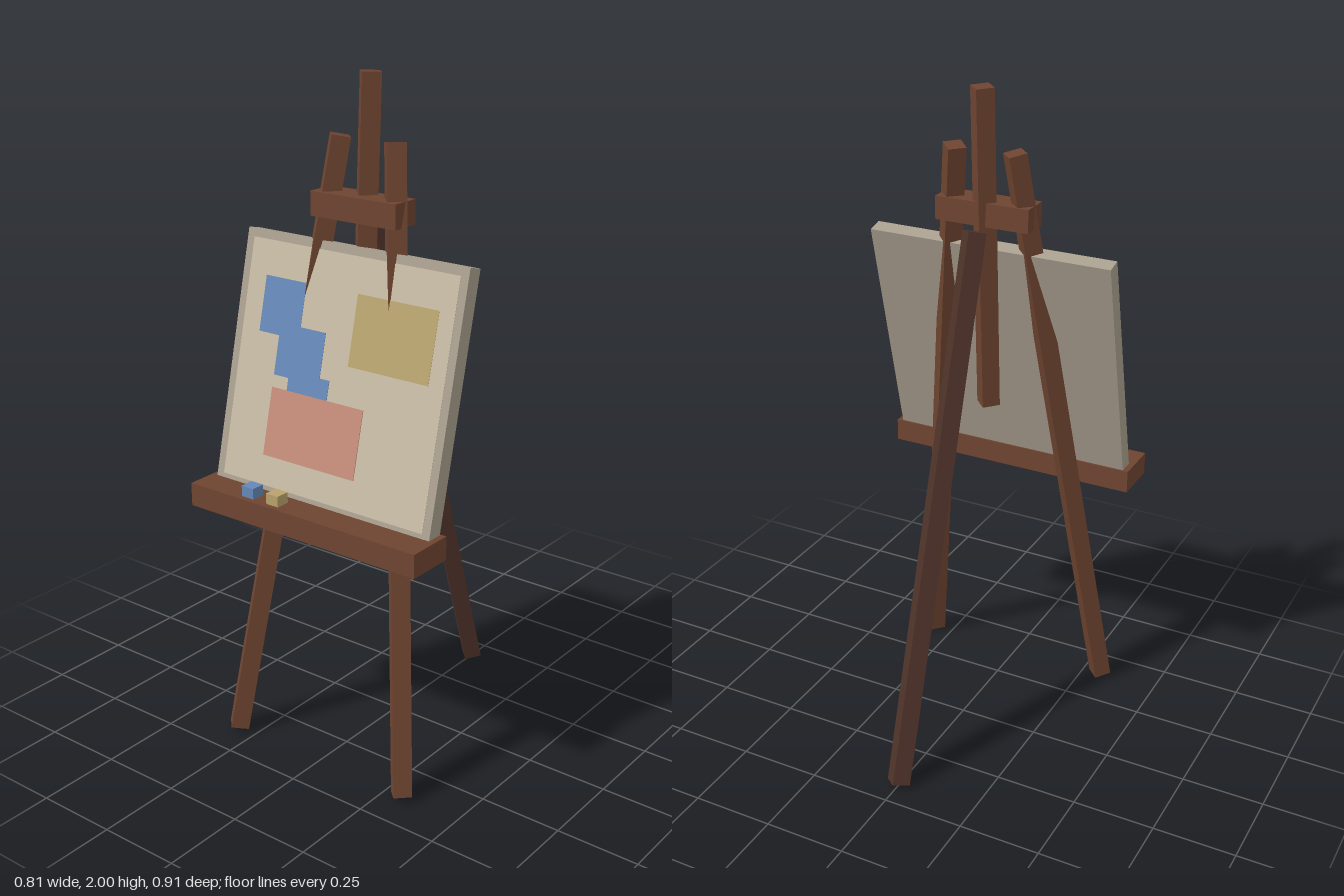
import * as THREE from 'three';

const material = (color) => new THREE.MeshStandardMaterial({ color, flatShading: true });
const wood = material(0x6e4430);
const darkWood = material(0x50342a);
const frame = material(0xa89e8e);
const linen = material(0xc6baa4);
const blue = material(0x6488b8);
const ochre = material(0xb8a26c);
const salmon = material(0xc48a78);

function add(parent, name, geometry, mat, x = 0, y = 0, z = 0) {
  const mesh = new THREE.Mesh(geometry, mat);
  mesh.name = name;
  mesh.position.set(x, y, z);
  parent.add(mesh);
  return mesh;
}

// Box given by its lower and upper corners
function box(parent, name, mat, [x0, y0, z0], [x1, y1, z1]) {
  return add(parent, name, new THREE.BoxGeometry(x1 - x0, y1 - y0, z1 - z0), mat,
    (x0 + x1) / 2, (y0 + y1) / 2, (z0 + z1) / 2);
}

// Square pole, set corner-on, between two points
function pole(parent, name, mat, from, to) {
  const a = new THREE.Vector3(...from), b = new THREE.Vector3(...to);
  const axis = b.clone().sub(a);
  const mesh = add(parent, name, new THREE.CylinderGeometry(0.038, 0.038, axis.length(), 4), mat);
  mesh.position.copy(a).add(b).multiplyScalar(0.5);
  mesh.quaternion.setFromUnitVectors(new THREE.Vector3(0, 1, 0), axis.normalize());
}

export function createModel() {
  const easel = new THREE.Group();
  easel.name = 'easel';

  // Tripod and mast
  for (const [side, s] of [['left', 1], ['right', -1]]) {
    pole(easel, side + 'FrontLeg', wood, [0.312 * s, 0.014, 0.388], [0.094 * s, 1.82, 0.128]);
  }
  pole(easel, 'rearLeg', darkWood, [0, 0.011, -0.42], [0, 1.597, 0.068]);
  pole(easel, 'mast', wood, [0, 1.028, 0.165], [0, 1.998, 0.112]);

  // Crossbar and tray
  box(easel, 'crossbar', wood, [-0.147, 1.6, 0.108], [0.147, 1.67, 0.198]);
  box(easel, 'tray', wood, [-0.403, 0.75, 0.31], [0.403, 0.82, 0.456]);

  // Paint blocks on the tray
  box(easel, 'bluePaintBlock', blue, [-0.22, 0.82, 0.395], [-0.177, 0.852, 0.438]);
  box(easel, 'ochrePaintBlock', ochre, [-0.128, 0.82, 0.395], [-0.085, 0.852, 0.438]);

  // Leaning canvas: its origin is the top edge of the front face
  const tilt = 0.24, topY = 1.534;
  const canvas = new THREE.Group();
  canvas.name = 'canvas';
  canvas.position.set(0, topY, 0.19);
  canvas.rotation.x = -tilt;
  easel.add(canvas);
  box(canvas, 'canvasFrame', frame, [-0.385, -0.736, -0.048], [0.385, 0, 0]);

  // Thin painted area, with its height range given in upright coordinates
  const patch = (name, mat, x0, x1, y0, y1, depth) => box(canvas, name, mat,
    [x0, (y0 - topY) / Math.cos(tilt), -0.002], [x1, (y1 - topY) / Math.cos(tilt), depth]);
  patch('canvasFace', linen, -0.36, 0.36, 0.833, 1.51, 0.001);
  patch('upperBluePatch', blue, -0.295, -0.147, 1.255, 1.412, 0.002);
  patch('middleBluePatch', blue, -0.22, -0.055, 1.145, 1.29, 0.0022);
  patch('lowerBluePatch', blue, -0.166, -0.02, 1.04, 1.165, 0.0024);
  patch('ochrePatch', ochre, 0.037, 0.31, 1.215, 1.412, 0.002);
  patch('salmonPatch', salmon, -0.22, 0.11, 0.917, 1.11, 0.003);

  return easel;
}
